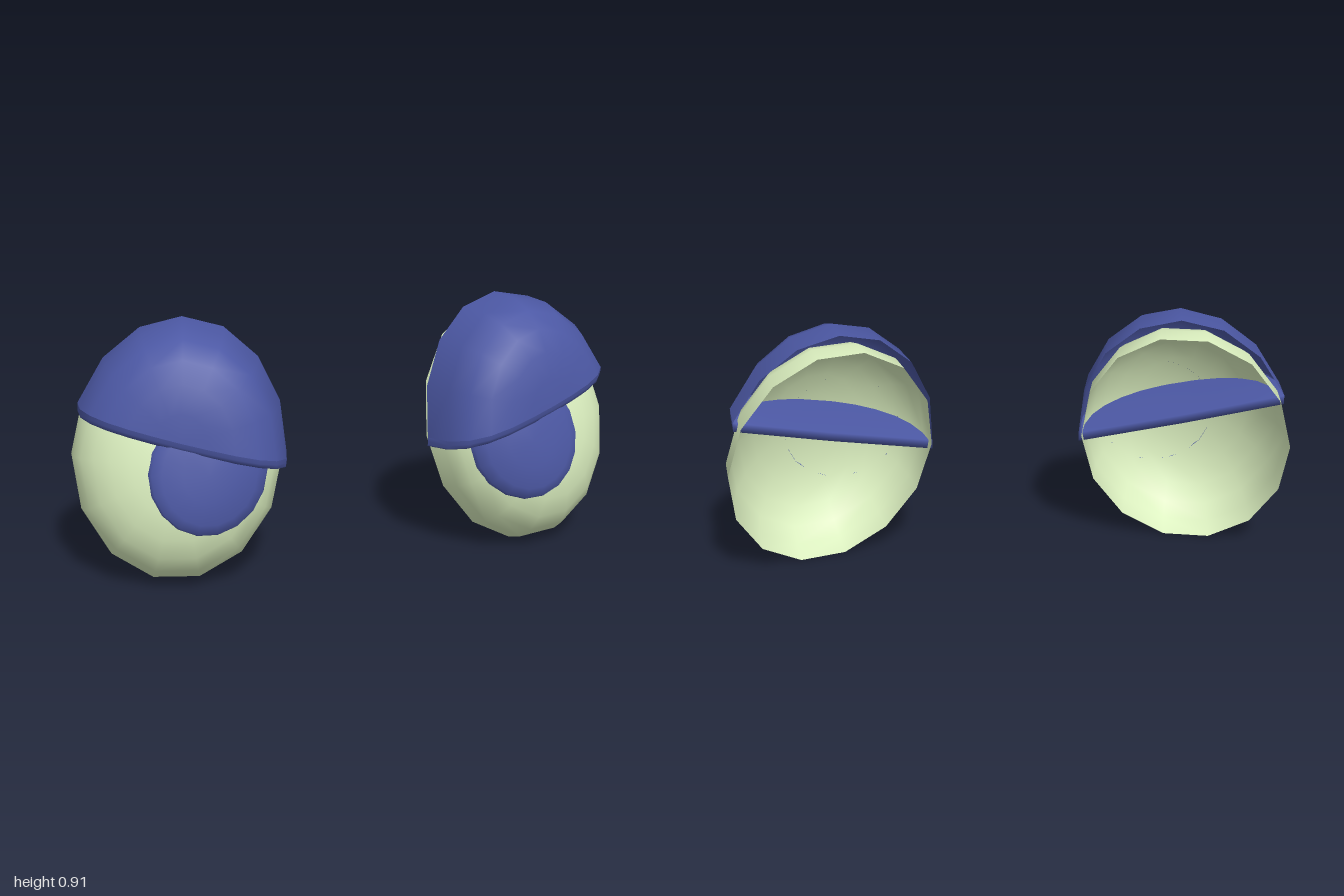
import * as THREE from 'three';
import { mergeVertices } from 'three/addons/utils/BufferGeometryUtils.js';

const pale = new THREE.MeshStandardMaterial({ color: 0xdcf0c0, side: THREE.DoubleSide });
const blue = new THREE.MeshStandardMaterial({ color: 0x4c58a4, side: THREE.DoubleSide });

// Smooth surface from a grid of points: fn(i, j) returns [x, y, z]
function grid(cols, rows, fn) {
  const pos = [], index = [], w = cols + 1;
  for (let j = 0; j <= rows; j++) for (let i = 0; i <= cols; i++) pos.push(...fn(i, j));
  for (let j = 0; j < rows; j++) {
    for (let i = 0; i < cols; i++) {
      const a = j * w + i, b = a + 1, c = a + w, d = c + 1;
      if (j > 0 || fn(i, 0).join() !== fn(i + 1, 0).join()) index.push(a, d, b);
      index.push(a, c, d);
    }
  }
  const geo = new THREE.BufferGeometry();
  geo.setAttribute('position', new THREE.Float32BufferAttribute(pos, 3));
  geo.setIndex(index);
  const merged = mergeVertices(geo, 1e-4);
  merged.computeVertexNormals();
  return merged;
}

// Slanted, slightly skewed dome; (u, v) lies in the unit disc of its rim.
// p and q set how boxy the bulge is, leanU and leanV where it is deepest,
// kx and ky how far the bulge leans outward and upward.
const SKEW = 0.1;
function makeDome({ cx, cy, a, b, z0, sx, sy, depth, p, q, kx, ky, leanU = 0, leanV = 0 }) {
  // lift raises the point off the surface, part = 0 gives the rim plane
  return (u, v, lift = 0, part = 1) => {
    const h = part * depth * (1 + leanU * u + leanV * v)
      * Math.pow(Math.max(0, 1 - Math.pow(Math.hypot(u, v), p)), q);
    const dx = a * u - SKEW * b * v, dy = b * v;
    return [cx + dx + kx * h, cy + dy + ky * h, z0 - sx * dx - sy * dy + h + lift];
  };
}

const shell = makeDome({
  cx: 0.633, cy: 0.425, a: 0.361, b: 0.436, z0: -0.102, sx: 0.28, sy: 0.275,
  depth: 0.285, p: 2.3, q: 0.44, kx: 0.2, ky: 0.2,
});
const lid = makeDome({
  cx: 0.642, cy: 0.425, a: 0.375, b: 0.48, z0: -0.062, sx: 0.24, sy: 0.22,
  depth: 0.265, p: 3.6, q: 0.4, kx: 0.2, ky: 0.12, leanU: -0.1, leanV: 0.2,
});

const ease = t => Math.sin(t * Math.PI / 2);

function add(group, name, geometry, material) {
  const mesh = new THREE.Mesh(geometry, material);
  mesh.name = name;
  group.add(mesh);
}

function makeEye() {
  const eye = new THREE.Group();

  // Open-backed eyeball shell
  const sides = 14, rings = 7;
  add(eye, 'eyeball', grid(sides, rings, (i, j) => {
    const th = (i % sides) / sides * Math.PI * 2, r = ease(j / rings);
    return shell(r * Math.cos(th), r * Math.sin(th));
  }), pale);

  // Oval pupil hugging the shell, its edge meeting the surface
  const steps = [[0, 0.016], [0.45, 0.018], [0.8, 0.019], [0.96, 0.013], [1, -0.002]];
  add(eye, 'pupil', grid(18, steps.length - 1, (i, j) => {
    const th = (i % 18) / 18 * Math.PI * 2, [s, lift] = steps[j];
    return shell(-0.27 + 0.55 * s * Math.cos(th), -0.09 + 0.49 * s * Math.sin(th), lift);
  }), blue);

  // Eyelid: the part of a larger dome above a slanted edge
  const from = 0.41, to = 3.14, midV = 0.2, lidCols = 7, lidRows = 6;
  const lidUV = (th, s) => [s * Math.cos(th), midV + s * (Math.sin(th) - midV)];
  add(eye, 'eyelid', grid(lidCols, lidRows, (i, j) =>
    lid(...lidUV(from + (to - from) * i / lidCols, ease(j / lidRows)))), blue);

  // Eyelid floor: rounded lip, then a thin slab back to the lid's open side
  const floor = [[0, 1], [-0.015, 0.99], [-0.027, 0.97], [-0.032, 0.93], [-0.032, 0], [0, 0], [0, 0.93]];
  add(eye, 'eyelidFloor', grid(lidRows * 2, floor.length - 1, (i, j) => {
    const t = i / lidRows - 1, [drop, part] = floor[j];
    const [x, y, z] = lid(...lidUV(t < 0 ? to : from, ease(Math.abs(t))), 0, part);
    return [x, y + drop, z];
  }), blue);
  return eye;
}

export function createModel() {
  const model = new THREE.Group();
  const left = makeEye();
  left.name = 'leftEye';
  const right = left.clone();
  right.name = 'rightEye';
  right.scale.x = -1;
  model.add(left, right);
  return model;
}
